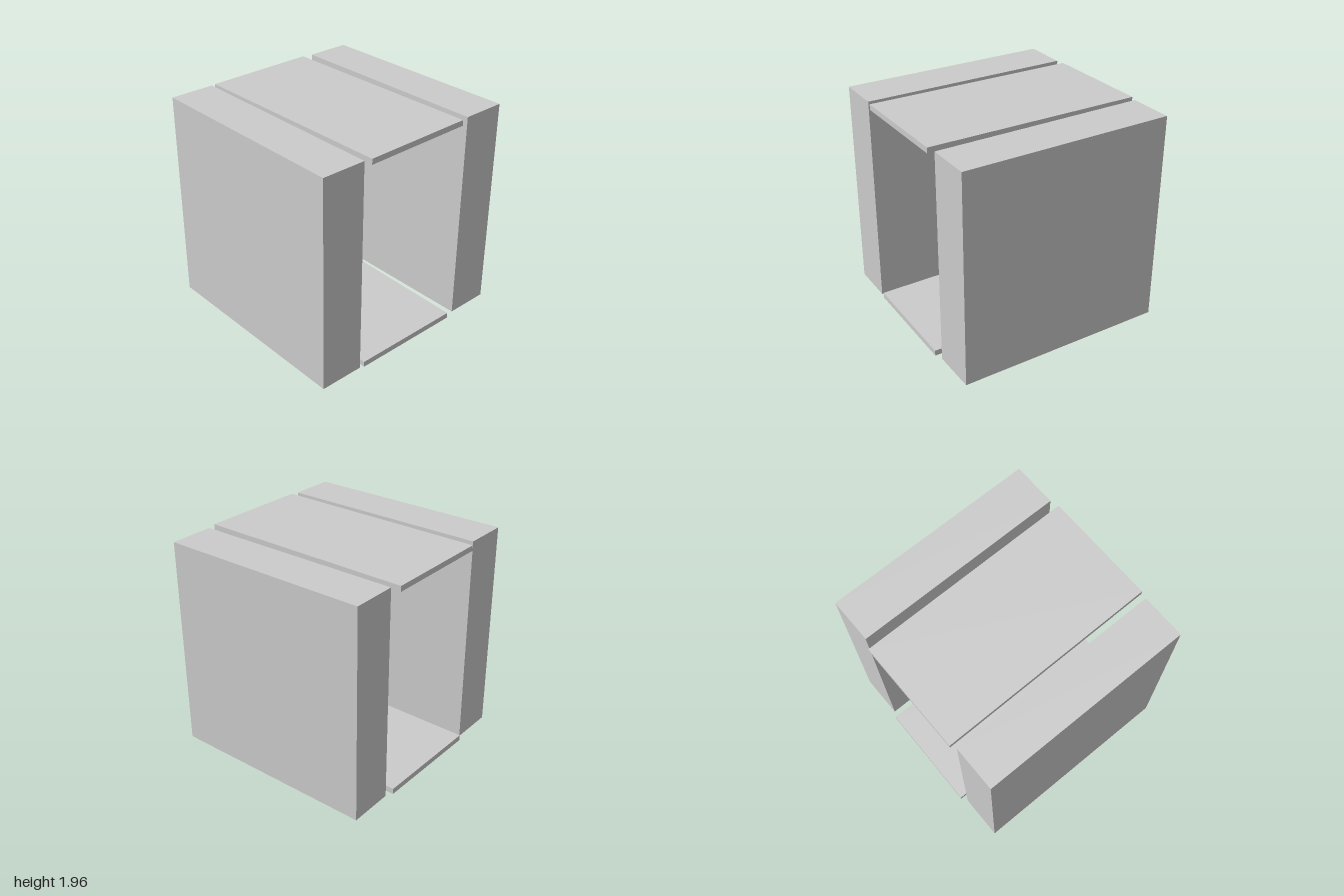
import * as THREE from 'three';

const material = new THREE.MeshStandardMaterial({ color: 0xcccccc, flatShading: true });

// A plain slab, set very slightly askew
function slab(name, size, position, tilt) {
  const mesh = new THREE.Mesh(new THREE.BoxGeometry(...size), material);
  mesh.name = name;
  mesh.position.set(...position);
  mesh.rotation.set(...tilt);
  return mesh;
}

export function createModel() {
  const group = new THREE.Group();
  group.name = 'openFrame';
  group.add(
    // Thick upright walls
    slab('leftWall', [0.405, 1.94, 1.925], [0.778, 0.988, 0], [0, 0.0075, -0.005]),
    slab('rightWall', [0.405, 1.945, 1.935], [-0.782, 0.99, 0.008], [0, 0.001, -0.005]),
    // Thin panels between the walls
    slab('topPanel', [1.018, 0.05, 1.98], [-0.008, 1.933, -0.002], [-0.006, 0.007, 0.001]),
    slab('bottomPanel', [1.032, 0.052, 1.975], [-0.02, 0.035, -0.006], [0.006, -0.004, 0]),
  );
  return group;
}
